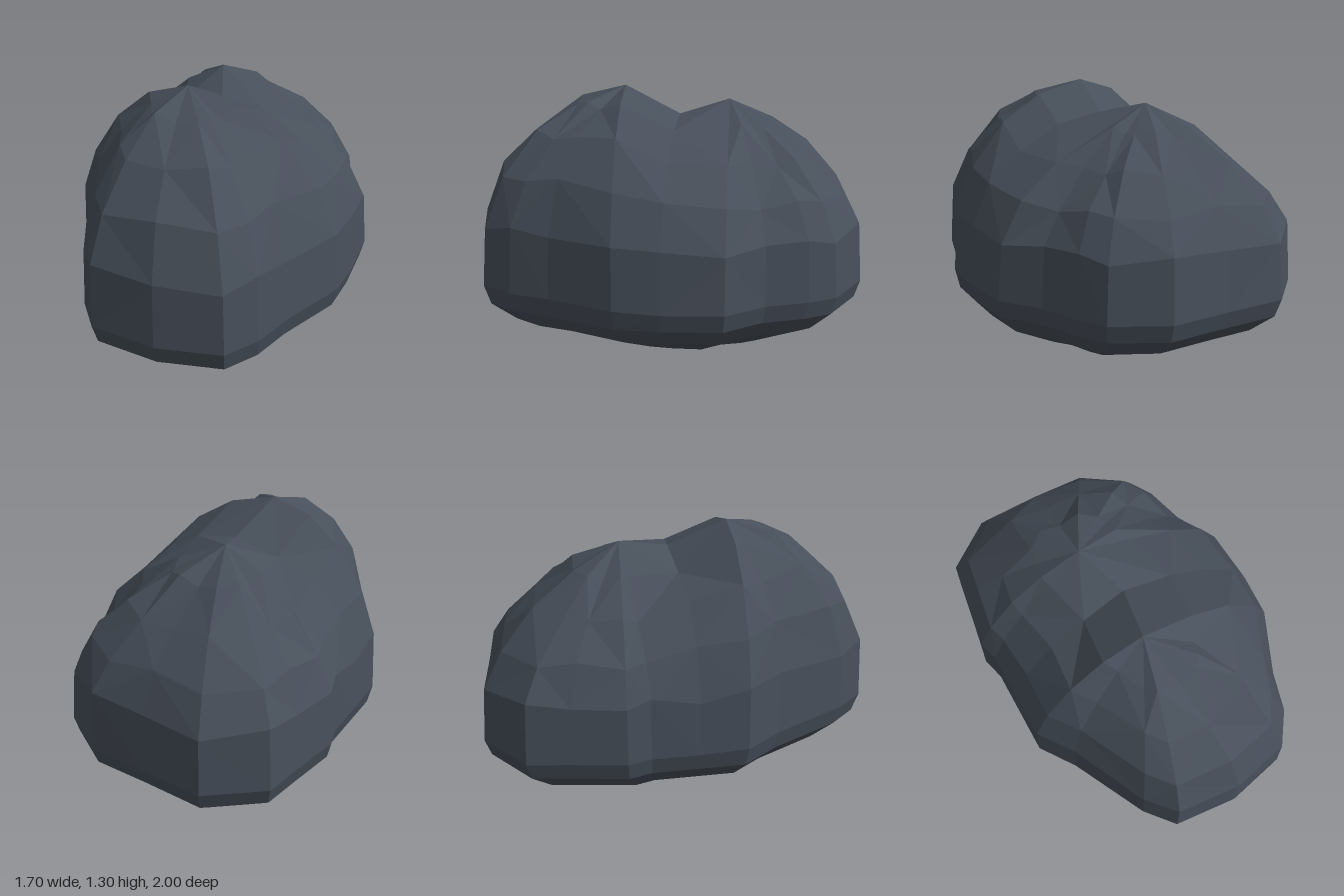
import * as THREE from 'three';

// Widest outline of the boulder seen from above: [x, z]
const OUTLINE = [
  [-0.02, -1], [0.3, -0.99], [0.53, -0.77], [0.76, -0.56], [0.85, -0.28], [0.81, -0.13],
  [0.72, 0.07], [0.69, 0.3], [0.5, 0.53], [0.34, 0.69], [0.02, 0.84], [-0.16, 0.95],
  [-0.34, 1], [-0.62, 0.85], [-0.85, 0.61], [-0.85, 0.42], [-0.75, 0], [-0.73, -0.22],
  [-0.58, -0.4], [-0.43, -0.58], [-0.38, -0.69], [-0.18, -0.86],
];

// Crest: front peak, saddle, back peak as [x, z]
const CREST = [[-0.25, 0.18], [-0.02, 0], [0.07, -0.26]];

// Upper loops: [scale towards the crest, height below front peak, saddle, back peak]
const UPPER = [
  [1, 0.35, 0.34, 0.34],
  [0.97, 0.66, 0.62, 0.63],
  [0.84, 0.9, 0.84, 0.8],
  [0.61, 1.09, 1.01, 0.96],
  [0.33, 1.22, 1.11, 1.11],
  [0, 1.3, 1.16, 1.225],
];

// Lower loops: [scale, height, tilt along x]
const LOWER = [[0, 0.005, 0], [0.5, 0.025, -0.05], [0.85, 0.15, 0], [0.97, 0.25, 0]];

// Which crest point an outline point rises towards
function crestIndex(x, z) {
  const [a, , b] = CREST;
  const dx = b[0] - a[0], dz = b[1] - a[1];
  const u = ((x - a[0]) * dx + (z - a[1]) * dz) / (dx * dx + dz * dz);
  return u < 0.22 ? 0 : u > 0.8 ? 2 : 1;
}

function boulderGeometry() {
  const loops = [];
  for (const [s, y, tilt] of LOWER) {
    loops.push(OUTLINE.map(([x, z]) => [x * s, y + tilt * x * s, z * s]));
  }
  UPPER.forEach(([s, ...heights], r) => {
    loops.push(OUTLINE.map(([x, z], j) => {
      const k = crestIndex(x, z);
      const [cx, cz] = CREST[k];
      // slight unevenness so the facets look chipped
      const chip = r > 0 && s > 0 ? 0.02 * Math.sin(j * 2.3 + r * 1.7) : 0;
      return [cx + (x - cx) * s, heights[k] + chip, cz + (z - cz) * s];
    }));
  });

  // Join neighbouring loops, alternating the diagonals
  const pos = [];
  const tri = (...pts) => {
    const [a, b, c] = pts.map((p) => new THREE.Vector3(...p));
    if (b.clone().sub(a).cross(c.clone().sub(a)).length() > 1e-6) pos.push(...pts.flat());
  };
  const n = OUTLINE.length;
  for (let i = 0; i < loops.length - 1; i++) {
    for (let j = 0; j < n; j++) {
      const k = (j + 1) % n;
      const a = loops[i][j], b = loops[i][k], c = loops[i + 1][k], d = loops[i + 1][j];
      if ((i + j) % 2) { tri(b, a, d); tri(b, d, c); }
      else { tri(b, a, c); tri(a, d, c); }
    }
  }
  const geo = new THREE.BufferGeometry();
  geo.setAttribute('position', new THREE.Float32BufferAttribute(pos, 3));
  geo.computeVertexNormals();
  return geo;
}

export function createModel() {
  const group = new THREE.Group();
  group.name = 'rock';
  const stone = new THREE.MeshStandardMaterial({ color: 0x474f5a, flatShading: true });
  const boulder = new THREE.Mesh(boulderGeometry(), stone);
  boulder.name = 'boulder';
  group.add(boulder);
  return group;
}
